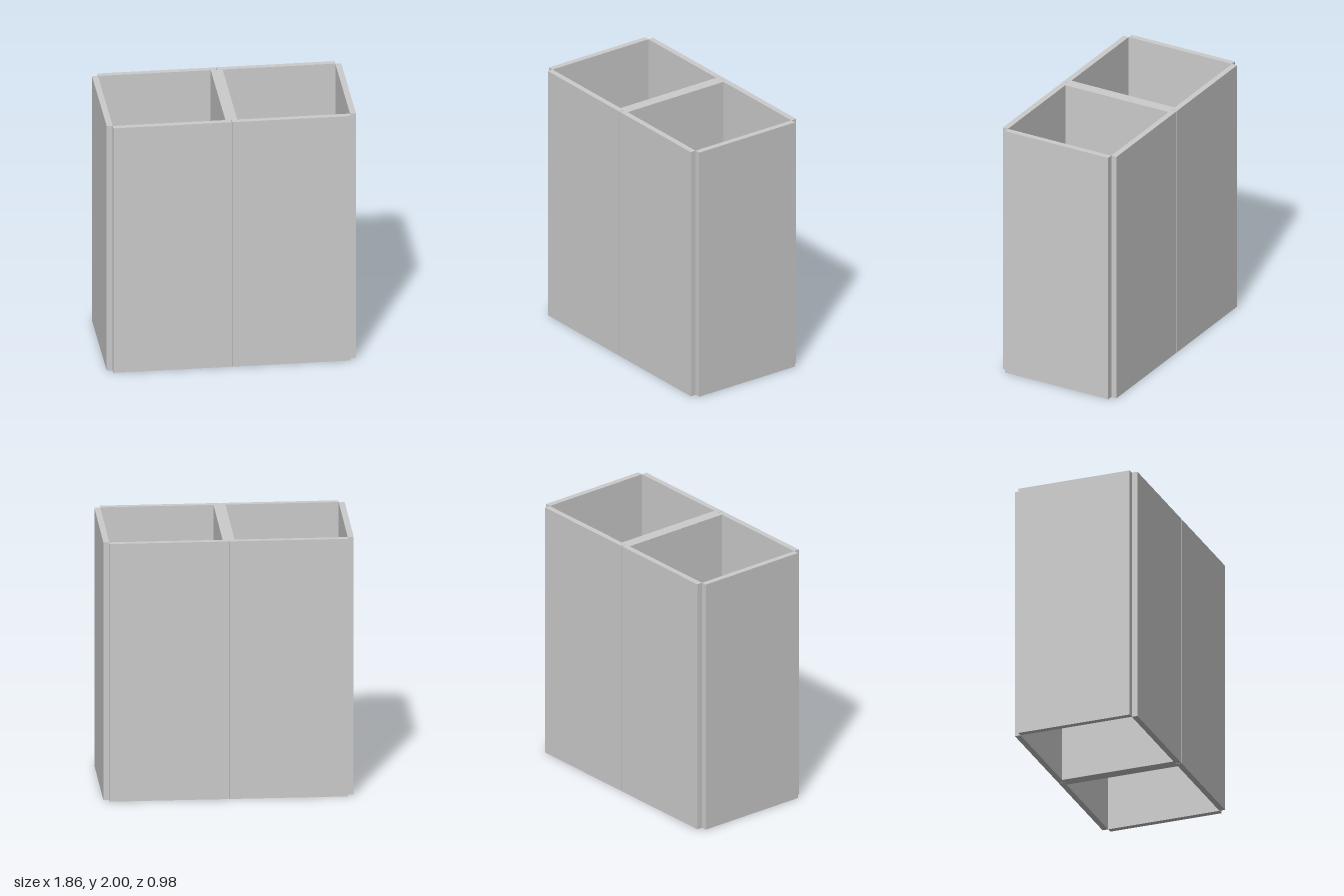
import * as THREE from 'three';

const HEIGHT = 2;
const WALL = 0.0445;    // panel thickness
const INNER_Z = 0.444;  // half depth inside the front and back panels
const INNER_X = 0.8875; // half width inside the end panels
const SEAM = 0.002;     // half of the narrow gap between neighbouring panels

export function createModel() {
  const group = new THREE.Group();
  group.name = 'twinCellDuct';
  const material = new THREE.MeshStandardMaterial({ color: 0xcccccc });

  // Upright panel spanning the full height
  const addPanel = (name, width, depth, x, z) => {
    const mesh = new THREE.Mesh(new THREE.BoxGeometry(width, HEIGHT, depth), material);
    mesh.name = name;
    mesh.position.set(x, HEIGHT / 2, z);
    group.add(mesh);
  };

  for (const side of [1, -1]) {
    const label = side > 0 ? 'left' : 'right';

    // Front and back panels, split by a seam in the middle
    for (const face of [1, -1]) {
      addPanel(label + (face > 0 ? 'FrontPanel' : 'BackPanel'),
        INNER_X - SEAM, WALL,
        side * (INNER_X + SEAM) / 2, face * (INNER_Z + WALL / 2));
    }

    // End panel, set outside the front and back panels to leave notched corners
    addPanel(label + 'EndPanel', WALL, INNER_Z * 2, side * (INNER_X + WALL / 2), 0);
  }

  // Double-thickness divider between the two cells
  addPanel('divider', WALL * 2, INNER_Z * 2, 0, 0);

  return group;
}
